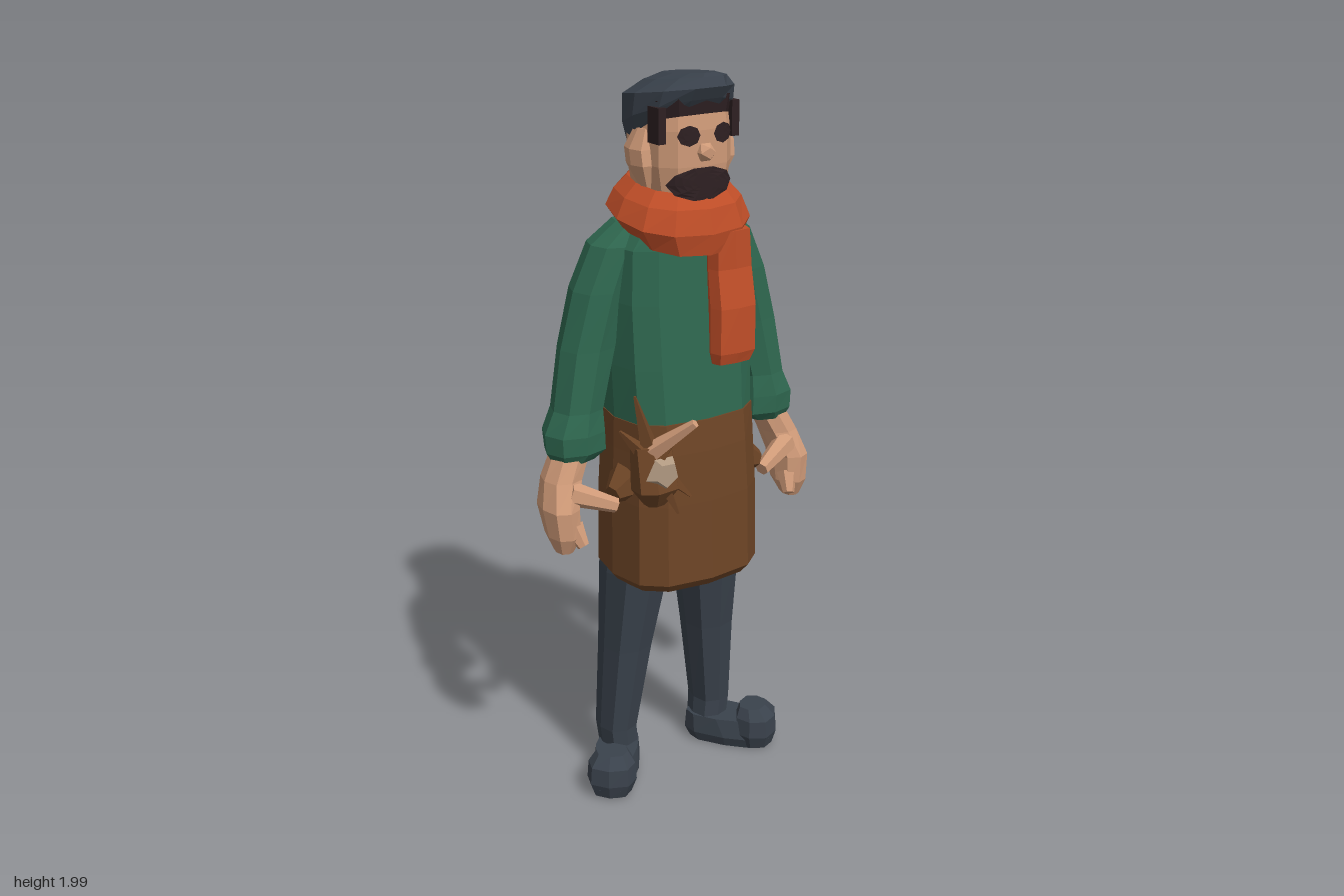
import * as THREE from 'three';

const paint = (name, color) => {
  const m = new THREE.MeshStandardMaterial({ color, flatShading: true });
  m.name = name;
  return m;
};

// Closed skin through horizontal rings, lowest first: [x, y, z, rx, rz, tilt]; e < 1 squares the outline
function loft(rings, e = 0.8, n = 12) {
  const pos = [], idx = [];
  for (const [cx, cy, cz, rx, rz, tilt = 0] of rings) {
    for (let i = 0; i < n; i++) {
      const a = (i / n) * Math.PI * 2, c = Math.cos(a), s = Math.sin(a);
      const z = rz * Math.sign(s) * Math.abs(s) ** e;
      pos.push(cx + rx * Math.sign(c) * Math.abs(c) ** e, cy + tilt * z, cz + z);
    }
  }
  const last = rings.length - 1, low = rings.length * n, high = low + 1;
  pos.push(...rings[0].slice(0, 3), ...rings[last].slice(0, 3));
  for (let i = 0; i < n; i++) {
    const j = (i + 1) % n;
    for (let k = 0; k < last; k++) {
      const a = k * n + i, b = k * n + j;
      idx.push(a, a + n, b, b, a + n, b + n);
    }
    idx.push(low, i, j, high, last * n + j, last * n + i);
  }
  const g = new THREE.BufferGeometry();
  g.setAttribute('position', new THREE.Float32BufferAttribute(pos, 3));
  g.setIndex(idx);
  g.computeVertexNormals();
  return g;
}

// Tapered rod from a to b
function rod(a, b, r0, r1, sides = 6) {
  const p = new THREE.Vector3(...a), q = new THREE.Vector3(...b), d = q.clone().sub(p);
  const g = new THREE.CylinderGeometry(r1, r0, d.length(), sides);
  g.applyQuaternion(new THREE.Quaternion().setFromUnitVectors(new THREE.Vector3(0, 1, 0), d.normalize()));
  return g.translate(...p.add(q).multiplyScalar(0.5).toArray());
}

// Flat patch wrapped onto the front of the face
function facePatch(g, x, y) {
  g.translate(x, y, 0);
  const p = g.attributes.position, e = 0.7;
  for (let i = 0; i < p.count; i++) {
    const c = Math.min(0.97, Math.abs(p.getX(i)) / 0.122) ** (1 / e);
    p.setZ(i, -0.02 + 0.125 * Math.sqrt(1 - c * c) ** e);
  }
  g.computeVertexNormals();
  return g;
}

export function createModel() {
  const slate = paint('slate cloth', 0x3a424c);
  const green = paint('green wool', 0x2f6850);
  const brown = paint('brown leather', 0x6e4526);
  const orange = paint('orange scarf', 0xc04e28);
  const skin = paint('skin', 0xcf9a78);
  const hair = paint('dark hair', 0x2e2022);
  const pale = paint('pale wood', 0xb09880);

  const model = new THREE.Group();
  model.name = 'standingMan';
  const add = (name, geometry, material, parent = model) => {
    const mesh = new THREE.Mesh(geometry, material);
    mesh.name = name;
    parent.add(mesh);
    return mesh;
  };

  // Body
  add('sweater', loft([
    [0, 1.08, -0.035, 0.195, 0.15], [0, 1.25, -0.04, 0.2, 0.14], [0, 1.42, -0.045, 0.2, 0.13],
    [0, 1.56, -0.05, 0.19, 0.125], [0, 1.64, -0.04, 0.13, 0.11],
  ], 0.7), green);
  add('apron', loft([
    [0, 0.63, -0.035, 0.19, 0.155], [0, 0.655, -0.035, 0.21, 0.175], [0, 0.88, -0.035, 0.207, 0.17],
    [0, 1.02, -0.035, 0.2, 0.162], [0, 1.105, -0.035, 0.198, 0.153],
  ], 0.7), brown);

  // Scarf
  add('scarfLoop', loft([
    [0, 1.56, -0.025, 0.11, 0.12, 0.25], [0, 1.585, -0.025, 0.15, 0.15, -0.25],
    [0, 1.635, -0.028, 0.185, 0.163, -0.2], [0, 1.685, -0.03, 0.16, 0.15, -0.13],
    [0, 1.72, -0.03, 0.125, 0.125, -0.13], [0, 1.68, -0.03, 0.1, 0.1],
  ], 0.85), orange);
  add('scarfTail', loft([
    [0.075, 1.25, 0.105, 0.055, 0.028], [0.078, 1.28, 0.105, 0.064, 0.038],
    [0.08, 1.4, 0.1, 0.064, 0.042], [0.08, 1.5, 0.085, 0.062, 0.038], [0.075, 1.6, 0.085, 0.058, 0.04],
  ], 0.5, 8), orange);

  // Head
  const head = new THREE.Group();
  head.name = 'head';
  model.add(head);
  add('face', loft([
    [0, 1.62, -0.03, 0.08, 0.08], [0, 1.69, -0.025, 0.105, 0.115], [0, 1.77, -0.025, 0.12, 0.122],
    [0, 1.86, -0.025, 0.12, 0.122], [0, 1.92, -0.025, 0.11, 0.115],
  ], 0.7), skin, head);
  add('nose', new THREE.IcosahedronGeometry(0.026, 0).translate(0, 1.805, 0.098), skin, head);
  add('moustache', facePatch(new THREE.RingGeometry(0.001, 1, 10, 5).scale(0.092, 0.043, 1), -0.01, 1.728), hair, head);
  for (const s of [-1, 1]) {
    add('ear', loft([
      [s * 0.11, 1.71, -0.01, 0.01, 0.02], [s * 0.125, 1.77, -0.015, 0.024, 0.045],
      [s * 0.127, 1.81, -0.02, 0.024, 0.045], [s * 0.112, 1.86, -0.02, 0.012, 0.03],
    ], 0.8, 6), skin, head);
    add('eye', facePatch(new THREE.RingGeometry(0.001, 1, 8, 2).scale(0.03, 0.026, 1), s * 0.05, 1.85), hair, head);
    add('sideburn', new THREE.BoxGeometry(0.022, 0.09, 0.05).translate(s * 0.11, 1.875, 0.045), hair, head);
  }
  add('fringe', loft([
    [0, 1.87, -0.025, 0.116, 0.122, 0.25], [0, 1.92, -0.025, 0.125, 0.128, 0.2],
  ], 0.75), hair, head);
  add('cap', loft([
    [0, 1.845, -0.035, 0.122, 0.12, 0.5], [0, 1.89, -0.03, 0.134, 0.14, 0.35],
    [0, 1.945, -0.027, 0.128, 0.155, 0.15], [0.015, 1.975, -0.02, 0.085, 0.135, 0.13],
    [0.02, 1.988, -0.01, 0.045, 0.1, 0.1],
  ], 0.9, 10), slate, head);

  // Arms and legs, mirrored
  for (const s of [-1, 1]) {
    const mirrored = (rings) => rings.map(([x, ...rest]) => [s * x, ...rest]);
    add('sleeve', loft(mirrored([
      [0.31, 1.005, -0.065, 0.06, 0.055], [0.3, 1.03, -0.065, 0.085, 0.07], [0.302, 1.08, -0.068, 0.085, 0.075],
      [0.29, 1.14, -0.07, 0.068, 0.068], [0.255, 1.3, -0.075, 0.076, 0.07], [0.215, 1.45, -0.075, 0.075, 0.075],
      [0.17, 1.565, -0.07, 0.068, 0.07], [0.12, 1.62, -0.065, 0.045, 0.055],
    ]), 0.85, 8), green);
    add('hand', loft(mirrored([
      [0.37, 0.77, -0.015, 0.022, 0.03], [0.368, 0.815, -0.02, 0.042, 0.055], [0.372, 0.89, -0.035, 0.046, 0.07],
      [0.35, 0.96, -0.055, 0.05, 0.058], [0.31, 1.04, -0.065, 0.05, 0.05],
    ]), 0.8, 8), skin);
    add('thumb', rod([s * 0.35, 0.93, -0.01], [s * 0.235, 0.885, 0.035], 0.034, 0.02), skin);
    add('finger', rod([s * 0.35, 0.84, 0.0], [s * 0.335, 0.79, 0.03], 0.03, 0.016), skin);
    add('sidePocket', rod([s * 0.18, 0.93, 0], [s * 0.235, 0.91, 0.015], 0.06, 0.025), brown);
    add('leg', loft(mirrored([
      [0.15, 0.04, -0.11, 0.05, 0.055], [0.16, 0.14, -0.112, 0.052, 0.06], [0.138, 0.4, -0.095, 0.068, 0.075],
      [0.117, 0.64, -0.075, 0.088, 0.095], [0.11, 0.76, -0.06, 0.08, 0.09],
    ]), 0.75, 8), slate);
    // Shoes turned outward
    const shoe = new THREE.Group();
    shoe.name = 'shoe';
    shoe.position.set(s * 0.16, 0, -0.1);
    shoe.rotation.y = s * 0.68;
    model.add(shoe);
    add('sole', loft([
      [0, 0.005, 0.06, 0.055, 0.12], [0, 0.035, 0.06, 0.066, 0.135], [0, 0.09, 0.035, 0.06, 0.105],
    ], 0.7, 10), slate, shoe);
    add('toe', loft([
      [0, 0.01, 0.14, 0.055, 0.05], [0, 0.05, 0.14, 0.07, 0.062], [0, 0.1, 0.14, 0.066, 0.058],
      [0, 0.13, 0.13, 0.045, 0.038],
    ], 0.8, 8), slate, shoe);
  }

  // Pouch with splintered sticks on the right hip
  const pouch = new THREE.Group();
  pouch.name = 'hipPouch';
  model.add(pouch);
  add('pouchBag', loft([
    [-0.15, 0.89, 0.09, 0.03, 0.025], [-0.155, 0.94, 0.1, 0.065, 0.05], [-0.16, 1.06, 0.09, 0.06, 0.035],
  ], 0.8, 7), brown, pouch);
  add('pouchPatch', rod([-0.15, 0.99, 0.12], [-0.148, 0.99, 0.15], 0.055, 0.035, 5), pale, pouch);
  add('longStick', rod([-0.18, 1.03, 0.09], [-0.1, 1.14, 0.205], 0.03, 0.012, 5), skin, pouch);
  const splinters = [[-0.21, 1.2, 0.09], [-0.25, 1.11, 0.08], [-0.1, 1.12, 0.15], [-0.07, 0.91, 0.14], [-0.11, 0.87, 0.14]];
  for (const tip of splinters) add('splinter', rod([-0.16, 1.01, 0.1], tip, 0.032, 0.004, 4), brown, pouch);

  return model;
}
